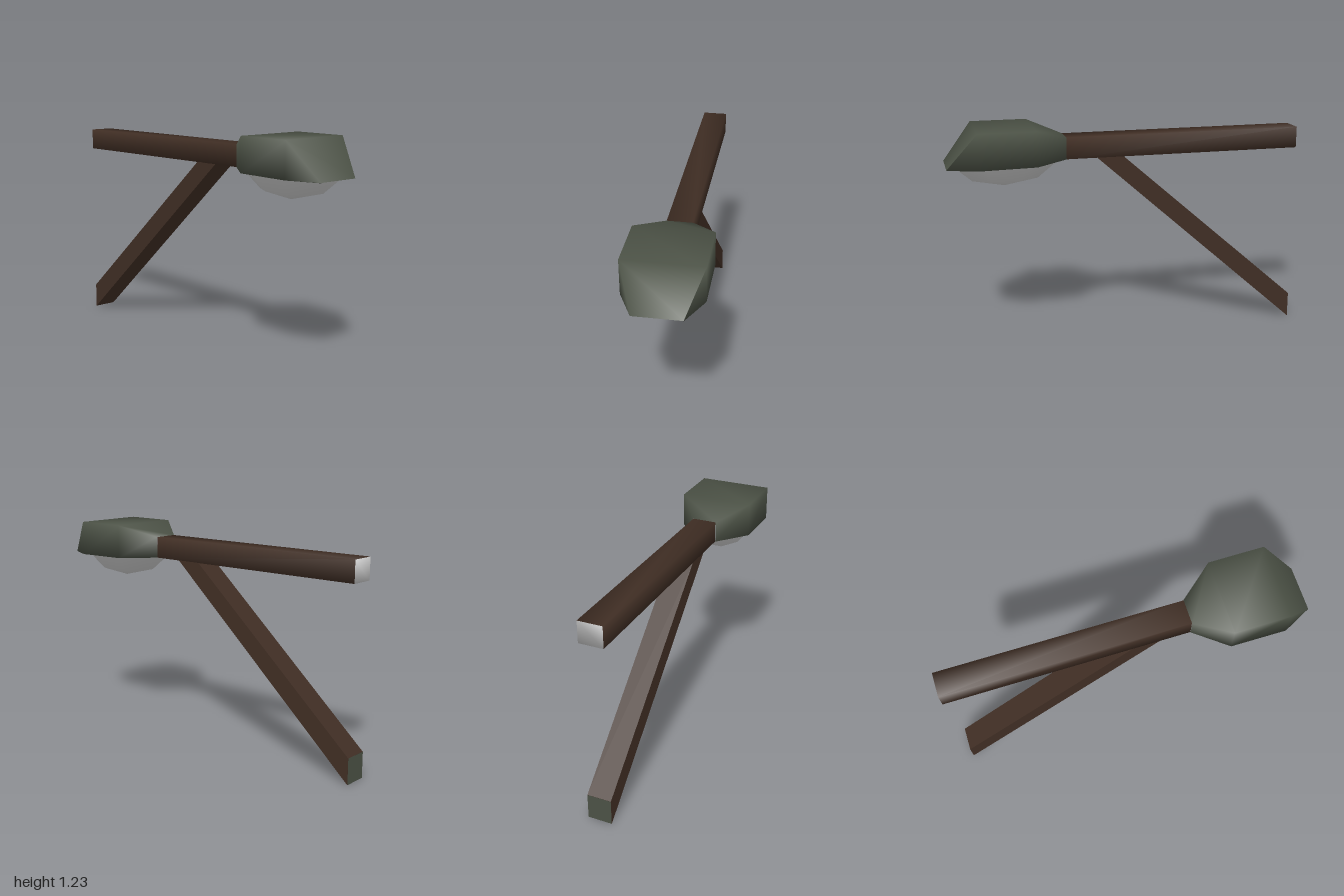
import * as THREE from 'three';

const mat = (name, color, extra = {}) => {
  const m = new THREE.MeshStandardMaterial({ color, ...extra });
  m.name = name;
  return m;
};

// Smooth loft along x through rectangular sections [x, bottom, top, halfWidth].
// Group 0 is the skin, group 1 the cap at the first section.
function loft(sections, capped) {
  const pos = [], idx = [];
  for (const [x, b, t, w] of sections) pos.push(x, b, w, x, t, w, x, t, -w, x, b, -w);
  for (let i = 0; i < sections.length - 1; i++) {
    for (let j = 0; j < 4; j++) {
      const a = i * 4 + j, b = i * 4 + (j + 1) % 4;
      idx.push(a, a + 4, b + 4, a, b + 4, b);
    }
  }
  const skin = idx.length;
  if (capped) idx.push(0, 1, 2, 0, 2, 3);
  const g = new THREE.BufferGeometry();
  g.setAttribute('position', new THREE.Float32BufferAttribute(pos, 3));
  g.setIndex(idx);
  g.addGroup(0, skin, 0);
  if (capped) g.addGroup(skin, 6, 1);
  g.computeVertexNormals();
  return g;
}

export function createModel() {
  const wood = mat('dark wood', 0x402e24);
  const green = mat('dark green metal', 0x4b5145);
  const glass = mat('pale glass', 0xcccccc);

  const model = new THREE.Group();
  model.name = 'wallLamp';
  const add = (name, geometry, material) => {
    const mesh = new THREE.Mesh(geometry, material);
    mesh.name = name;
    model.add(mesh);
  };

  // Horizontal arm with a pale end face
  add('arm', loft([[-1, 1.045, 1.165, 0.068], [0.35, 1.045, 1.165, 0.068]], true), [wood, glass]);

  // Hood widening from the arm and closing to a sharp front edge
  add('hood', loft([
    [0.35, 1.045, 1.165, 0.07],
    [0.53, 1.04, 1.23, 0.208],
    [0.84, 1.035, 1.23, 0.208],
    [1, 1.03, 1.032, 0.125],
  ], false), green);

  // Diagonal brace, cut flush at the wall and under the arm
  const side = new THREE.Shape([[-1, 0], [0.18, 1.046], [0.03, 1.046], [-1, 0.145]]
    .map(([x, y]) => new THREE.Vector2(x, y)));
  const brace = new THREE.ExtrudeGeometry(side, { depth: 0.136, bevelEnabled: false });
  brace.translate(0, 0, -0.068);
  add('brace', brace, wood);

  // Green plate on the wall end of the brace
  const plate = new THREE.PlaneGeometry(0.136, 0.145);
  plate.rotateY(-Math.PI / 2);
  plate.translate(-1.001, 0.0725, 0);
  add('braceEnd', plate, green);

  // Eight-sided oval lamp glass below the hood
  const profile = [[0, 0.905], [0.62, 0.948], [1, 1.045]].map(([r, y]) => new THREE.Vector2(r, y));
  const lamp = new THREE.LatheGeometry(profile, 8, Math.PI / 8);
  lamp.scale(0.31, 1, 0.195);
  lamp.translate(0.685, 0, 0);
  add('lampGlass', lamp, glass);

  return model;
}
